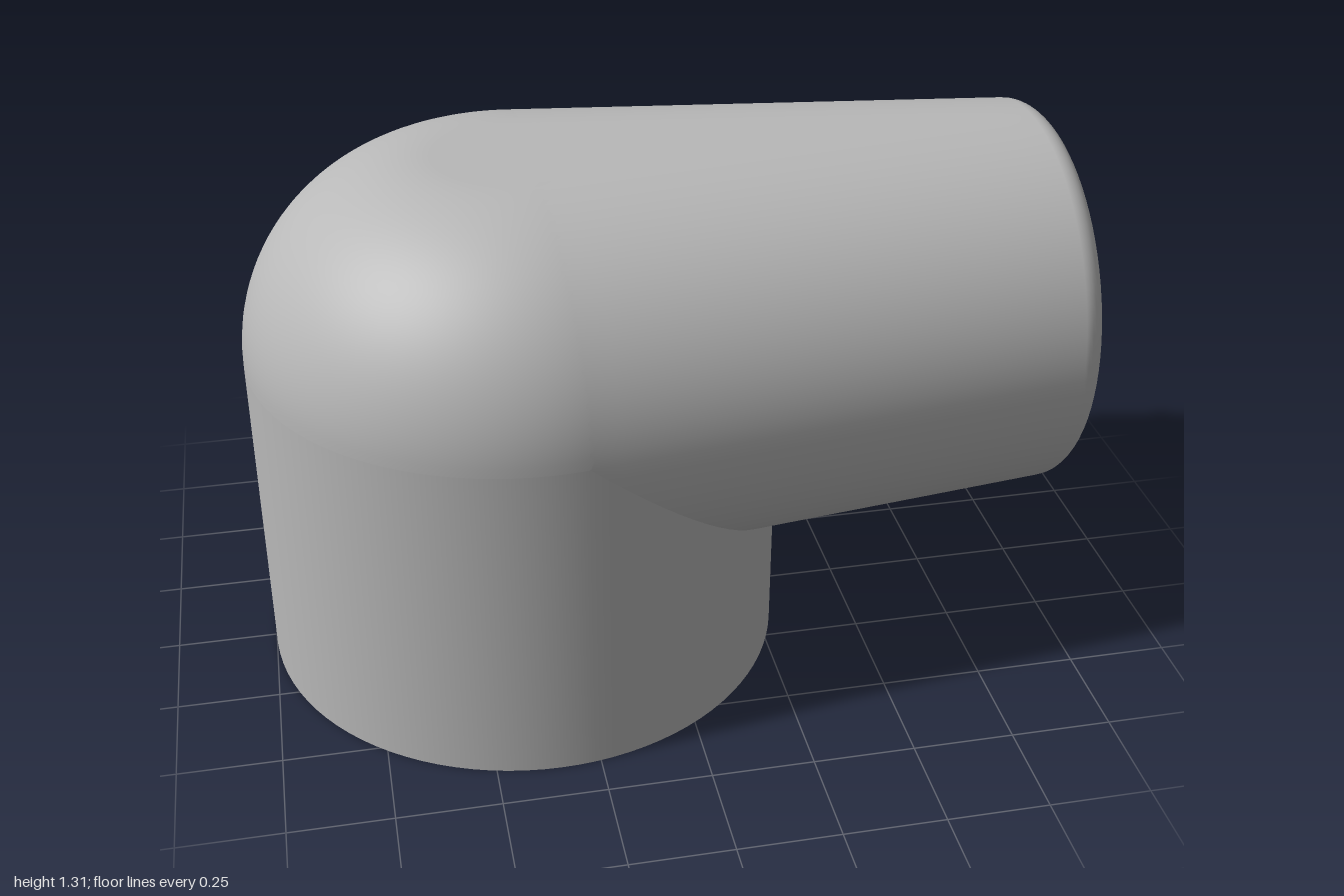
import * as THREE from 'three';

const AXIS_Y = 0.83;               // height of the arm axis
const BODY_X = -0.347, BODY_R = 0.653;
const R = 0.48;                    // arm radius, also the dome rounding
const CORE = BODY_R - R;           // flat disc on top of the dome
const SIN = CORE / (1 - BODY_X), COS = Math.sqrt(1 - SIN * SIN);

const grey = new THREE.MeshStandardMaterial({ color: 0xb8b8b8 });
grey.name = 'grey plastic';

// Quarter round from vertical to horizontal
function quarter(cx, cy, r, n) {
  return Array.from({ length: n + 1 }, (_, i) => {
    const a = (i / n) * Math.PI / 2;
    return [cx + r * Math.cos(a), cy + r * Math.sin(a)];
  });
}

// Turned part made of profiles with sharp edges between them
function turned(name, profiles) {
  const group = new THREE.Group();
  group.name = name;
  for (const p of profiles) {
    const geo = new THREE.LatheGeometry(p.map(([r, y]) => new THREE.Vector2(Math.max(r, 0), y)), 96);
    const mesh = new THREE.Mesh(geo, grey);
    mesh.name = name + 'Surface';
    group.add(mesh);
  }
  return group;
}

// Tapered arm: rounded sections whose flat width shrinks to a circle at the mouth
function armGeometry() {
  const half = 40, fillet = 0.06, rows = [];
  for (let i = 0; i <= 16; i++) rows.push({ t: i / 16, x: 0, inset: 0 });
  for (let i = 1; i <= 10; i++) {
    const a = (i / 10) * Math.PI / 2;
    rows.push({ t: -1, x: 1 - fillet + fillet * Math.sin(a), inset: fillet * (1 - Math.cos(a)) });
  }
  const pos = [], index = [], n = 2 * (half + 1);
  for (const row of rows) {
    for (let k = 0; k < n; k++) {
      const side = k <= half ? 1 : -1;
      const j = side > 0 ? k : n - 1 - k;
      const a = -Math.PI / 2 + (j / half) * Math.PI;
      // the first section follows the line where the arm touches the dome
      const start = BODY_X + CORE * SIN + R * Math.cos(a) * SIN;
      const x = row.t < 0 ? row.x : THREE.MathUtils.lerp(start, 1 - fillet, row.t);
      const r = R - row.inset;
      const z = (1 - x) * SIN / COS + r / COS * Math.cos(a);
      pos.push(x, AXIS_Y + r * Math.sin(a), side * z);
    }
  }
  for (let i = 0; i < rows.length - 1; i++) {
    for (let k = 0; k < n; k++) {
      const a = i * n + k, b = i * n + (k + 1) % n;
      index.push(a, b, a + n, b, b + n, a + n);
    }
  }
  const geo = new THREE.BufferGeometry();
  geo.setAttribute('position', new THREE.Float32BufferAttribute(pos, 3));
  // make the faces point outwards
  for (let i = 0; i < index.length; i += 3) {
    [index[i + 1], index[i + 2]] = [index[i + 2], index[i + 1]];
  }
  geo.setIndex(index);
  geo.computeVertexNormals();
  return geo;
}

export function createModel() {
  const model = new THREE.Group();
  model.name = 'elbowFitting';

  // Upright body with rounded top and a bore in its foot
  const body = turned('body', [
    [[0, 0.6], [0.24, 0.6]],
    [[0.24, 0.6], [0.24, 0]],
    [[0.24, 0], [BODY_R, 0]],
    [[BODY_R, 0], [BODY_R, AXIS_Y]],
    [...quarter(CORE, AXIS_Y, R, 32), [0, AXIS_Y + R]],
  ]);
  body.position.x = BODY_X;
  model.add(body);

  // Side arm
  const arm = new THREE.Mesh(armGeometry(), grey);
  arm.name = 'arm';
  model.add(arm);

  // Mouth of the arm: rim, socket and central peg, turned about x
  const socket = turned('socket', [
    [[0.423, 1], [0.415, 1]],
    [[0.415, 1], [0.415, 0.35]],
    [[0.415, 0.35], [0.2, 0.35]],
  ]);
  const peg = turned('peg', [
    [[0.205, 0.35], ...quarter(0.165, 0.93, 0.04, 8)],
    [[0.165, 0.97], [0, 0.97]],
  ]);
  for (const part of [socket, peg]) {
    part.rotation.z = -Math.PI / 2;
    part.position.y = AXIS_Y;
    model.add(part);
  }
  return model;
}
